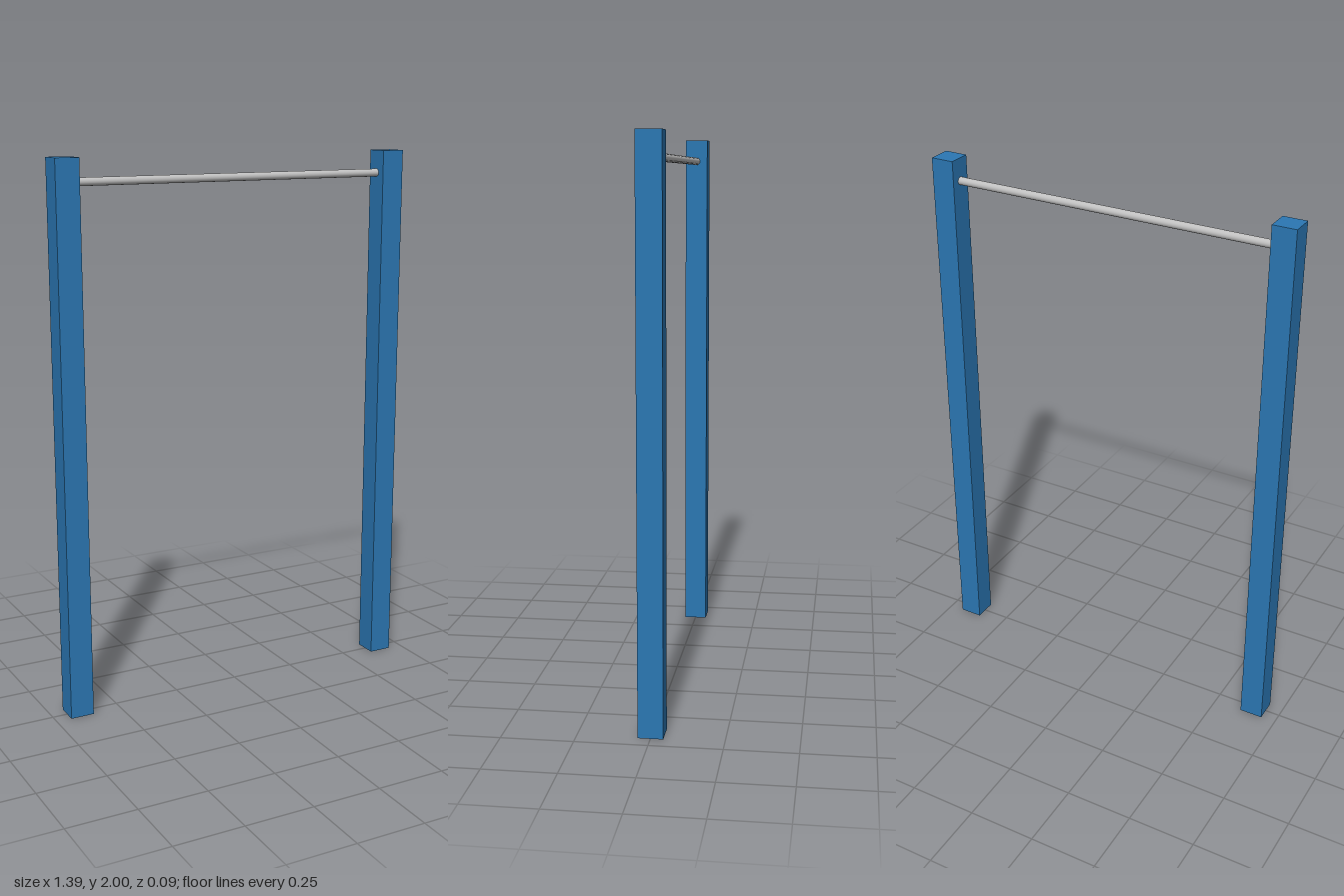
import * as THREE from 'three';

export function createModel() {
  const model = new THREE.Group();
  model.name = 'pullUpBar';

  const blue = new THREE.MeshStandardMaterial({ color: 0x2b77b3 });
  blue.name = 'blue paint';
  const steel = new THREE.MeshStandardMaterial({ color: 0xc0c0c0 });
  steel.name = 'steel grey';

  const postWidth = 0.087, postHeight = 2, postX = 0.651;

  // Square uprights, mirrored left and right
  const postGeometry = new THREE.BoxGeometry(postWidth, postHeight, postWidth);
  for (const [name, side] of [['leftPost', 1], ['rightPost', -1]]) {
    const post = new THREE.Mesh(postGeometry, blue);
    post.name = name;
    post.position.set(side * postX, postHeight / 2, 0);
    model.add(post);
  }

  // Round bar spanning the inner faces of the posts
  const barLength = 2 * postX - postWidth;
  const bar = new THREE.Mesh(new THREE.CylinderGeometry(0.0145, 0.0145, barLength, 24), steel);
  bar.name = 'crossbar';
  bar.rotation.z = Math.PI / 2;
  bar.position.y = 1.917;
  model.add(bar);

  return model;
}
